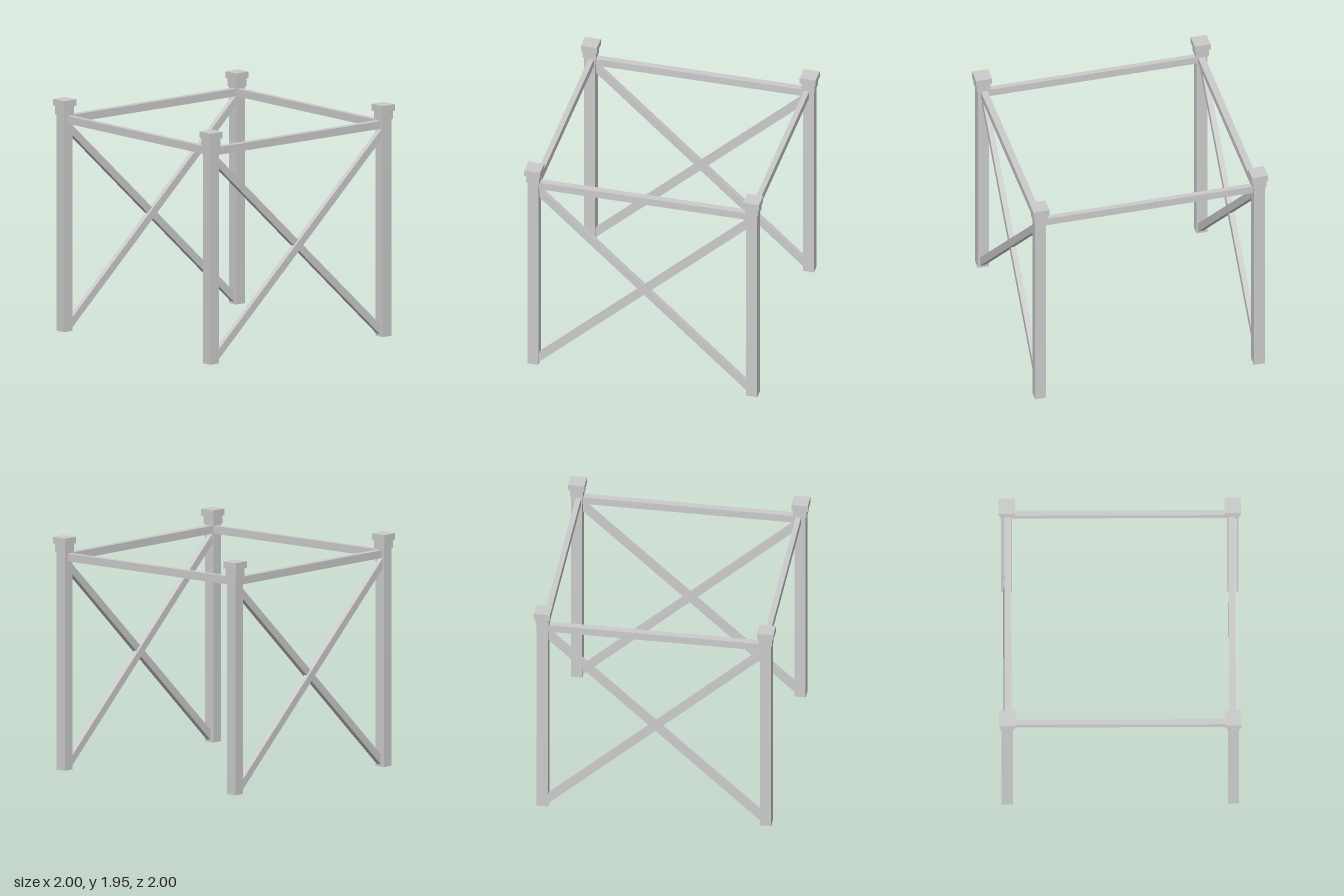
import * as THREE from 'three';

const material = new THREE.MeshStandardMaterial({ color: 0xcccccc, flatShading: true });

function box(parent, name, size, position) {
  const mesh = new THREE.Mesh(new THREE.BoxGeometry(...size), material);
  mesh.name = name;
  mesh.position.set(...position);
  parent.add(mesh);
  return mesh;
}

// Square post with a stepped cap
function createPost(x, z) {
  const post = new THREE.Group();
  post.name = 'cornerPost';
  post.position.set(x, 0, z);
  box(post, 'postShaft', [0.093, 1.82, 0.093], [0, 0.91, 0]);
  box(post, 'capCollar', [0.112, 0.07, 0.112], [0, 1.855, 0]);
  box(post, 'capBlock', [0.136, 0.055, 0.136], [0, 1.9175, 0]);
  return post;
}

// Top rail with two crossed braces, facing +z
function createBracedSide() {
  const side = new THREE.Group();
  side.name = 'bracedSide';
  box(side, 'topRail', [1.78, 0.065, 0.056], [0, 1.778, 0.925]);

  const halfX = 0.92;
  const angle = Math.atan2(1.638, 1.77);
  const length = (2 * halfX) / Math.cos(angle);
  for (const s of [1, -1]) {
    const brace = box(side, s > 0 ? 'risingBrace' : 'fallingBrace',
      [length, 0.062, 0.045], [0, 0.881, 0.93 + s * 0.01]);
    brace.rotation.z = s * angle;
  }
  return side;
}

export function createModel() {
  const model = new THREE.Group();
  model.name = 'bracedFrame';

  for (const x of [-0.932, 0.932]) {
    for (const z of [-0.932, 0.932]) model.add(createPost(x, z));
  }

  // Front and back, the back turned half around
  for (const turn of [0, Math.PI]) {
    const side = createBracedSide();
    side.rotation.y = turn;
    model.add(side);
  }

  // Thinner rails along the open sides
  for (const s of [-1, 1]) {
    box(model, 'sideRail', [0.045, 0.065, 1.78], [s * 0.917, 1.778, 0]);
  }
  return model;
}
